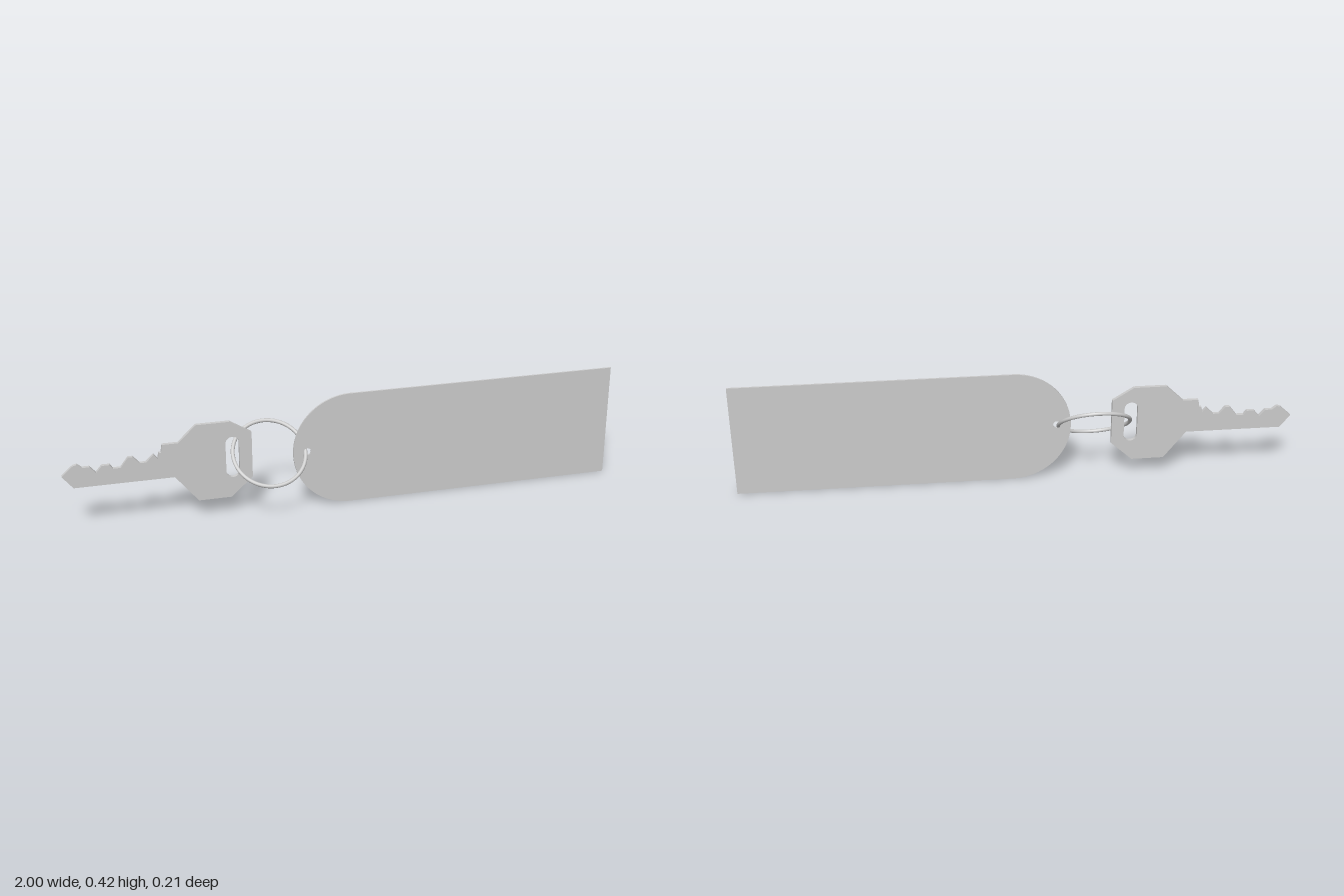
import * as THREE from 'three';

const material = new THREE.MeshStandardMaterial({ color: 0xcccccc });

// Flat plate cut from a shape, lying between z0 and z1
function plate(name, shape, z0, z1) {
  const geometry = new THREE.ExtrudeGeometry(shape, { depth: z1 - z0, bevelEnabled: false, curveSegments: 24 });
  geometry.translate(0, 0, z0);
  const mesh = new THREE.Mesh(geometry, material);
  mesh.name = name;
  return mesh;
}

// Tag: rectangle with one round end and a small ring hole
function createTag() {
  const r = 0.208;
  const shape = new THREE.Shape();
  shape.moveTo(0.01, 0);
  shape.lineTo(1, 0);
  shape.lineTo(1, 2 * r);
  shape.lineTo(0.01, 2 * r);
  shape.absarc(0.01, r, r, Math.PI / 2, Math.PI * 1.5, false);
  shape.holes.push(new THREE.Path().absarc(-0.147, 0.212, 0.013, 0, Math.PI * 2, true));
  return plate('tag', shape, 0.009, 0.016);
}

// Key: angular bow, toothed blade and a rounded slot
function createKey() {
  const outline = [
    [-1, 0.211], [-0.963, 0.165], [-0.617, 0.165], [-0.537, 0.065], [-0.42, 0.065],
    [-0.343, 0.135], [-0.343, 0.304], [-0.42, 0.351], [-0.537, 0.351], [-0.6, 0.291],
    [-0.655, 0.291], [-0.66, 0.262], [-0.668, 0.262], [-0.672, 0.24], [-0.686, 0.258],
    [-0.713, 0.232], [-0.735, 0.232], [-0.757, 0.257], [-0.773, 0.257], [-0.8, 0.222],
    [-0.826, 0.222], [-0.837, 0.237], [-0.863, 0.237], [-0.884, 0.213], [-0.905, 0.237],
    [-0.93, 0.237], [-0.947, 0.25], [-0.96, 0.247],
  ];
  const shape = new THREE.Shape(outline.map(([x, y]) => new THREE.Vector2(x, y)));
  const slot = new THREE.Path();
  slot.absarc(-0.412, 0.27, 0.024, 0, Math.PI, false);
  slot.absarc(-0.412, 0.165, 0.024, Math.PI, Math.PI * 2, false);
  slot.closePath();
  shape.holes.push(slot);
  return plate('key', shape, -0.009, 0.005);
}

export function createModel() {
  const group = new THREE.Group();
  group.name = 'keyWithTag';

  // Tilted ring joining the key to the tag
  const ring = new THREE.Mesh(new THREE.TorusGeometry(0.129, 0.007, 12, 64), material);
  ring.name = 'ring';
  ring.position.set(-0.281, 0.216, 0);
  ring.rotation.x = -0.855;

  group.add(createTag(), createKey(), ring);
  return group;
}
